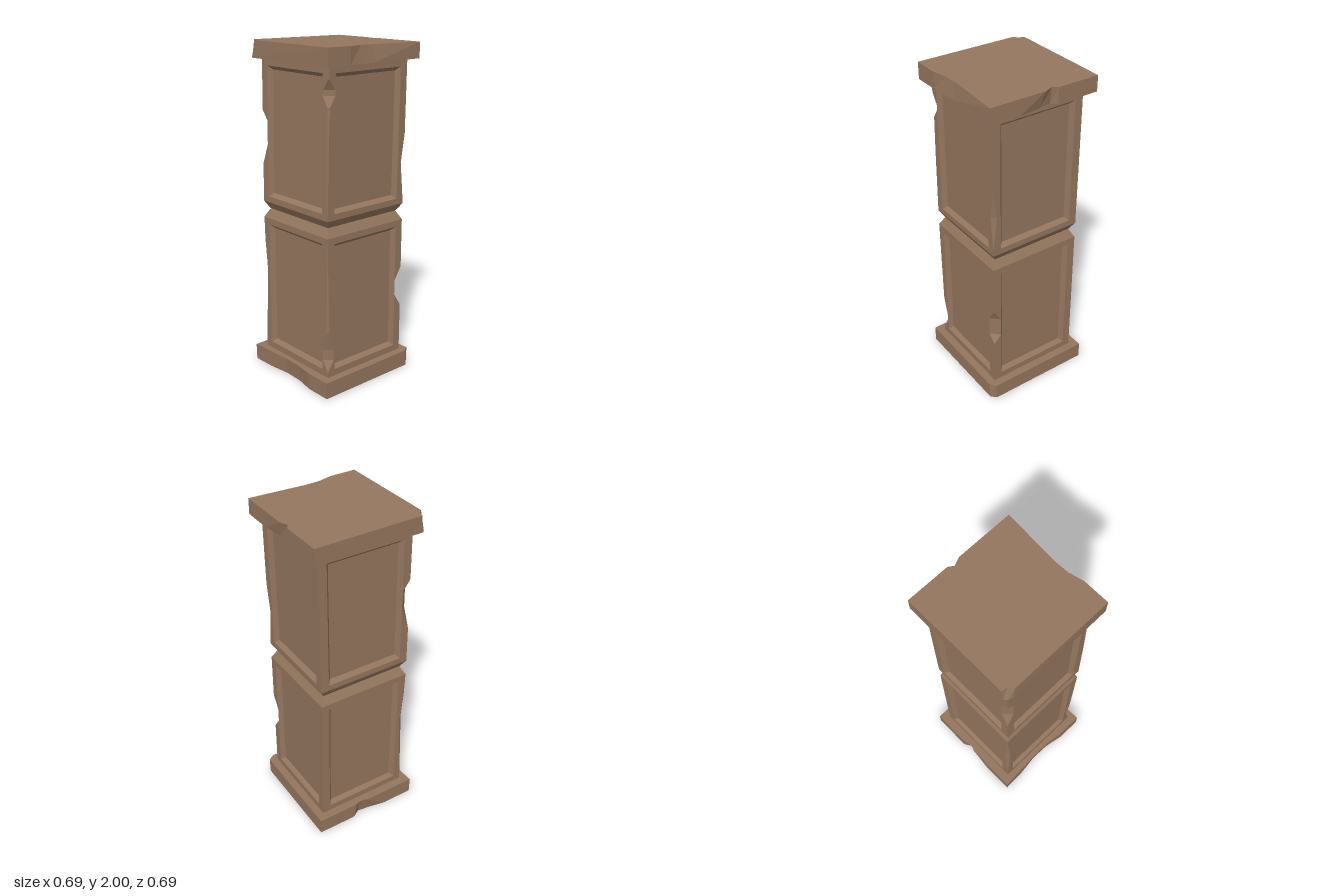
import * as THREE from 'three';

const stone = new THREE.MeshStandardMaterial({ color: 0x94765e });
stone.name = 'brown stone';

// Collects flat faces; corners run counter-clockwise seen from outside.
function faceBuilder() {
  const pos = [];
  const tri = (a, b, c) => {
    const n = new THREE.Vector3().subVectors(b, a).cross(new THREE.Vector3().subVectors(c, a));
    if (n.length() < 1e-9) return;
    for (const p of [a, b, c]) pos.push(p.x, p.y, p.z);
  };
  const quad = (a, b, c, d) => { tri(a, b, c); tri(a, c, d); };
  const mesh = (name) => {
    const g = new THREE.BufferGeometry();
    g.setAttribute('position', new THREE.Float32BufferAttribute(pos, 3));
    g.computeVertexNormals();
    const m = new THREE.Mesh(g, stone);
    m.name = name;
    return m;
  };
  return { tri, quad, mesh };
}

// Slab lofted between two plan outlines of [x, z], each with the same point count.
function slab(name, y0, y1, lower, upper, slope = 0) {
  const f = faceBuilder();
  const lo = lower.map(([x, z]) => new THREE.Vector3(x, y0, z));
  const hi = upper.map(([x, z]) => new THREE.Vector3(x, y1 - slope * (x + 0.345), z));
  lo.forEach((p, i) => {
    const j = (i + 1) % lo.length;
    f.quad(p, lo[j], hi[j], hi[i]);
  });
  const flat = (o) => THREE.ShapeUtils.triangulateShape(o.map(([x, z]) => new THREE.Vector2(x, -z)), []);
  for (const [a, b, c] of flat(upper)) f.tri(hi[a], hi[b], hi[c]);
  for (const [a, b, c] of flat(lower)) f.tri(lo[c], lo[b], lo[a]);
  return f.mesh(name);
}

// Square block with four sunken panels. Corners 0..3 are +x+z, +x-z, -x-z, -x+z;
// chips[k] lists [height, cut] along corner k.
function block(name, { y0, y1, bevel0, bevel1, panel0, panel1, chips, lean }) {
  const f = faceBuilder();
  const h = 0.293, rim = 0.243, inner = 0.221, depth = 0.025, inset = 0.027;
  const b0 = y0 + bevel0, b1 = y1 - bevel1;
  const at = (k, u, y, d) => {
    const [x, z] = [[u, d], [d, -u], [-u, -d], [-d, u]][k];
    const t = (y - y0) / (y1 - y0);
    return new THREE.Vector3(x - 0.006 + lean * t, y, z + lean * 0.5 * t);
  };
  const levels = chips.map((c) => [[b0, 0], ...c, [b1, 0]]);

  for (let k = 0; k < 4; k++) {
    const next = (k + 1) % 4;
    const rect = (u0, v0, u1, v1) =>
      f.quad(at(k, u0, v0, h), at(k, u1, v0, h), at(k, u1, v1, h), at(k, u0, v1, h));
    // rails above and below the panel
    rect(-rim, b0, rim, panel0);
    rect(-rim, panel1, rim, b1);

    // stiles out to the worn corners
    const right = levels[k], left = levels[(k + 3) % 4];
    for (let i = 0; i < right.length - 1; i++) {
      const [ya, ca] = right[i], [yb, cb] = right[i + 1];
      f.quad(at(k, rim, ya, h), at(k, h - ca, ya, h), at(k, h - cb, yb, h), at(k, rim, yb, h));
      // chipped face across the corner
      f.quad(at(k, h - ca, ya, h), at(next, ca - h, ya, h), at(next, cb - h, yb, h), at(k, h - cb, yb, h));
    }
    for (let i = 0; i < left.length - 1; i++) {
      const [ya, ca] = left[i], [yb, cb] = left[i + 1];
      f.quad(at(k, ca - h, ya, h), at(k, -rim, ya, h), at(k, -rim, yb, h), at(k, cb - h, yb, h));
    }

    // sloped panel border and sunken panel
    const s = rim - inner;
    const outer = [[-rim, panel0], [rim, panel0], [rim, panel1], [-rim, panel1]].map(([u, v]) => at(k, u, v, h));
    const sunk = [[-inner, panel0 + s], [inner, panel0 + s], [inner, panel1 - s], [-inner, panel1 - s]]
      .map(([u, v]) => at(k, u, v, h - depth));
    for (let i = 0; i < 4; i++) {
      const j = (i + 1) % 4;
      f.quad(outer[i], outer[j], sunk[j], sunk[i]);
    }
    f.quad(...sunk);

    // bevelled ends at the waist
    const e = h - inset;
    if (bevel0) f.quad(at(k, -e, y0, e), at(k, e, y0, e), at(k, h, b0, h), at(k, -h, b0, h));
    if (bevel1) f.quad(at(k, -h, b1, h), at(k, h, b1, h), at(k, e, y1, e), at(k, -e, y1, e));
  }

  // end faces
  const e0 = bevel0 ? h - inset : h, e1 = bevel1 ? h - inset : h;
  f.quad(at(0, -e1, y1, e1), at(0, e1, y1, e1), at(2, -e1, y1, e1), at(2, e1, y1, e1));
  f.quad(at(2, e0, y0, e0), at(2, -e0, y0, e0), at(0, e0, y0, e0), at(0, -e0, y0, e0));
  return f.mesh(name);
}

export function createModel() {
  const model = new THREE.Group();
  model.name = 'stonePillar';

  // base slab with a clipped front corner and worn back and right edges
  model.add(slab('base', 0, 0.1,
    [[-0.348, 0.34], [0.305, 0.34], [0.335, 0.31], [0.335, -0.345],
      [0.09, -0.345], [0.04, -0.315], [-0.04, -0.325], [-0.14, -0.345],
      [-0.345, -0.345], [-0.34, -0.2], [-0.322, -0.06], [-0.325, 0.06], [-0.348, 0.18]],
    [[-0.348, 0.34], [0.295, 0.34], [0.335, 0.315], [0.335, -0.345],
      [0.075, -0.345], [0.05, -0.335], [0.01, -0.335], [-0.01, -0.345],
      [-0.348, -0.345], [-0.34, -0.2], [-0.33, -0.06], [-0.332, 0.06], [-0.348, 0.18]]));

  model.add(block('lowerBlock', {
    y0: 0.1, y1: 1, bevel0: 0, bevel1: 0.05, panel0: 0.14, panel1: 0.912, lean: 0,
    chips: [
      [[0.4, 0], [0.45, 0.05], [0.57, 0.05], [0.65, 0]],
      [],
      [[0.3, 0.008], [0.62, 0.024], [0.8, 0.006]],
      [[0.13, 0], [0.2, 0.045], [0.26, 0.045], [0.38, 0.012], [0.65, 0.006]],
    ],
  }));

  model.add(block('upperBlock', {
    y0: 1.004, y1: 1.9, bevel0: 0.046, bevel1: 0, panel0: 1.086, panel1: 1.858, lean: 0.008,
    chips: [
      [[1.08, 0], [1.3, 0.025], [1.47, 0]],
      [],
      [[1.28, 0], [1.4, 0.045], [1.54, 0.045], [1.6, 0]],
      [[1.45, 0.004], [1.68, 0.01], [1.74, 0.048], [1.77, 0.046], [1.83, 0.006]],
    ],
  }));

  // cap slab with dented front and left edges and a broken back corner
  model.add(slab('cap', 1.9, 2,
    [[-0.34, 0.345], [-0.18, 0.345], [-0.09, 0.338], [0, 0.336], [0.346, 0.343],
      [0.346, 0.16], [0.33, 0.03], [0.315, -0.05], [0.346, -0.08], [0.346, -0.341],
      [-0.32, -0.341], [-0.335, -0.325], [-0.345, -0.3]],
    [[-0.34, 0.345], [-0.18, 0.345], [-0.09, 0.323], [0, 0.32], [0.346, 0.343],
      [0.346, 0.16], [0.346, 0], [0.325, -0.05], [0.346, -0.08], [0.346, -0.341],
      [-0.305, -0.341], [-0.312, -0.31], [-0.34, -0.285]], 0.01));

  return model;
}
